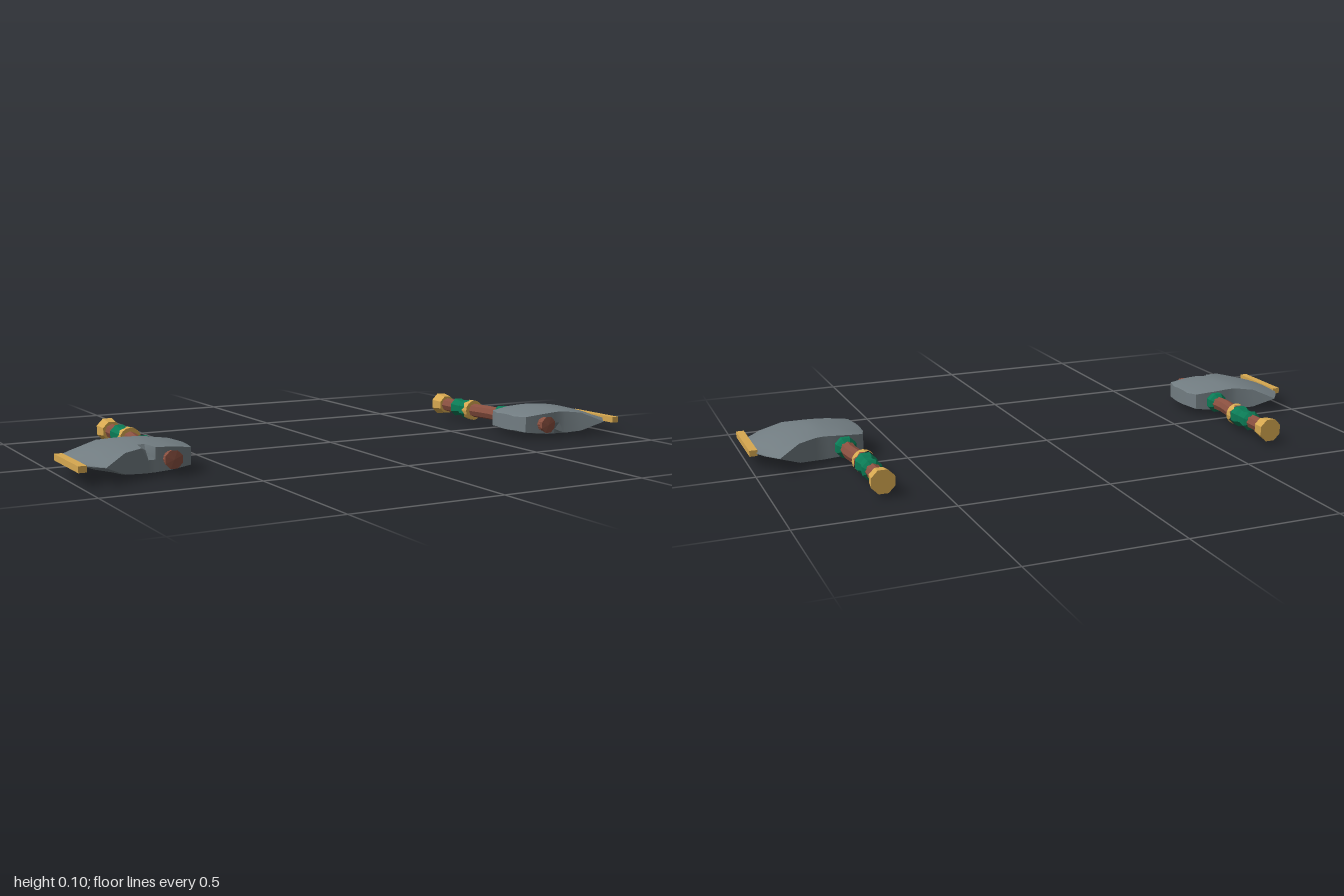
import * as THREE from 'three';
import { toCreasedNormals } from 'three/addons/utils/BufferGeometryUtils.js';

const mat = (name, color) => {
  const m = new THREE.MeshStandardMaterial({ color });
  m.name = name;
  return m;
};

// faceted copy of a geometry
const facet = (g) => {
  const f = g.index ? g.toNonIndexed() : g;
  f.computeVertexNormals();
  return f;
};

// turned part along z; profile is [radius, z] with z increasing
const turned = (profile, sides = 8) => {
  const g = new THREE.LatheGeometry(profile.map(([r, z]) => new THREE.Vector2(r, z)), sides, Math.PI / 8);
  return g.rotateX(Math.PI / 2);
};

// blade lofted from lens-shaped sections, from the poll to the cutting edge
function bladeGeometry() {
  // distance from centre, back z, front z, half thickness, rim thickness ratio
  const cols = [
    [0.617, 0.12, 0.22, 0.027, 0.9],
    [0.63, 0.075, 0.27, 0.031, 0.88],
    [0.70, 0.06, 0.28, 0.044, 0.8],
    [0.748, 0.06, 0.28, 0.049, 0.78],
    [0.77, 0.059, 0.28, 0.05, 0.78],
    [0.792, 0.056, 0.283, 0.049, 0.78],
    [0.85, 0.035, 0.303, 0.043, 0.75],
    [0.92, 0.0, 0.34, 0.026, 0.03],
    [0.957, 0.047, 0.292, 0.012, 0.1],
    [0.977, 0.085, 0.27, 0.005, 0.3],
  ];
  const steps = [-1, -0.7, -0.35, 0, 0.35, 0.7, 1];
  const pos = [], idx = [];
  let n = 0;
  cols.forEach(([u, z0, z1, t, r]) => {
    const c = (z0 + z1) / 2, w = (z1 - z0) / 2;
    const y = (s) => t * (1 - (1 - r) * s * s);
    const ring = [[c - w, 0], ...steps.map((s) => [c + s * w, y(s)]),
      [c + w, 0], ...steps.map((s) => [c - s * w, -y(s)])];
    // chipped notch in the front rim
    if (u === 0.77) ring[7] = [z1 - 0.025, y(1) - 0.012];
    n = ring.length;
    ring.forEach(([z, yy]) => pos.push(-u, yy, z));
  });
  for (let i = 0; i < cols.length - 1; i++) {
    for (let j = 0; j < n; j++) {
      const k = (j + 1) % n;
      const a = i * n + j, b = i * n + k, c = a + n, d = b + n;
      idx.push(a, c, b, b, c, d);
    }
  }
  const last = (cols.length - 1) * n;
  for (let j = 1; j < n - 1; j++) {
    idx.push(0, j, j + 1);
    idx.push(last, last + j + 1, last + j);
  }
  const g = new THREE.BufferGeometry();
  g.setAttribute('position', new THREE.Float32BufferAttribute(pos, 3));
  g.setIndex(idx);
  return toCreasedNormals(g, 0.55);
}

function createAxe(m) {
  const axe = new THREE.Group();
  const add = (name, geo, material, x = 0, y = 0, z = 0) => {
    const mesh = new THREE.Mesh(geo, material);
    mesh.name = name;
    mesh.position.set(x, y, z);
    axe.add(mesh);
    return mesh;
  };

  add('blade', bladeGeometry(), m.steel);
  add('cuttingEdge', new THREE.BoxGeometry(0.026, 0.02, 0.235), m.gold, -0.987, 0, 0.2095);

  // gently bent wooden handle
  const path = new THREE.CatmullRomCurve3([
    [-0.70, 0.29], [-0.698, 0.15], [-0.695, 0.03], [-0.697, -0.03],
    [-0.684, -0.10], [-0.682, -0.18], [-0.682, -0.25], [-0.682, -0.32],
  ].map(([x, z]) => new THREE.Vector3(x, 0, z)));
  add('handle', facet(new THREE.TubeGeometry(path, 14, 0.025, 8)), m.wood);
  add('handleTip', facet(turned([[0, 0.27], [0.024, 0.27], [0.024, 0.285], [0.03, 0.308], [0, 0.31]])), m.wood, -0.70);

  // green wrappings
  add('neckWrap', facet(turned([[0.022, 0.017], [0.036, 0.032], [0.036, 0.05], [0.028, 0.066], [0, 0.066]])), m.green, -0.697);
  add('gripWrap', facet(turned([
    [0, -0.232], [0.024, -0.232], [0.035, -0.222], [0.028, -0.187], [0.029, -0.177],
    [0.036, -0.165], [0.036, -0.142], [0.03, -0.128], [0, -0.128],
  ])), m.green, -0.682);

  // gold collar with a toothed edge
  const collar = turned([[0.036, -0.131], [0.036, -0.115], [0, -0.115]], 16);
  const p = collar.attributes.position;
  for (let i = 0; i <= 16; i++) {
    if (i % 2) p.setZ(i * 3, -0.145);
  }
  const collarMesh = add('gripCollar', facet(collar), m.gold, -0.682);
  collarMesh.scale.set(1.02, 1.02, 1);

  // flared gold pommel
  add('pommel', facet(turned([[0, -0.343], [0.041, -0.343], [0.034, -0.295], [0, -0.295]])), m.gold, -0.682);
  return axe;
}

export function createModel() {
  const m = {
    steel: mat('steel', 0x727d82),
    wood: mat('wood', 0x8a5040),
    green: mat('green', 0x0b7a55),
    gold: mat('gold', 0xd6a850),
  };
  const model = new THREE.Group();
  // the second axe is the first one turned over
  ['rightAxe', 'leftAxe'].forEach((name, i) => {
    const axe = createAxe(m);
    axe.name = name;
    axe.position.y = 0.05;
    axe.rotation.z = i * Math.PI;
    model.add(axe);
  });
  return model;
}
